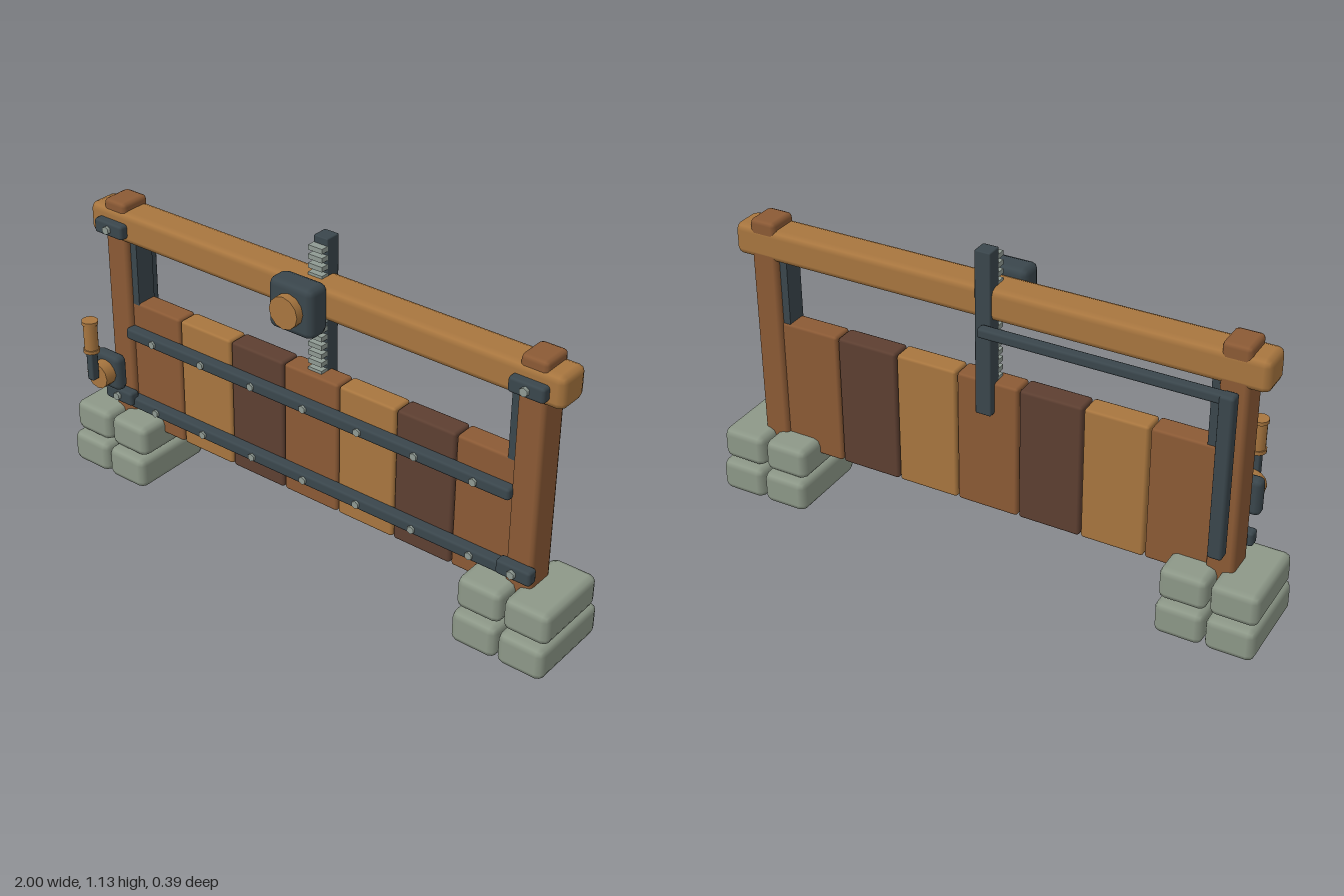
import * as THREE from 'three';
import { RoundedBoxGeometry } from 'three/addons/geometries/RoundedBoxGeometry.js';

export function createModel() {
  const model = new THREE.Group();
  model.name = 'sluiceGate';
  const paint = (name, color) => {
    const m = new THREE.MeshStandardMaterial({ color });
    m.name = name;
    return m;
  };
  const wood = paint('mid brown wood', 0x8b5a35);
  const lightWood = paint('light wood', 0xa8763f);
  const darkWood = paint('dark wood', 0x5d3f31);
  const iron = paint('dark iron', 0x3a464c);
  const steel = paint('pale steel', 0x8f9a93);
  const stone = paint('grey stone', 0x8d9888);

  const add = (name, geometry, material, x, y, z) => {
    const mesh = new THREE.Mesh(geometry, material);
    mesh.name = name;
    mesh.position.set(x, y, z);
    model.add(mesh);
    return mesh;
  };
  // Bevelled block given by its limits on each axis
  const block = (name, material, [x0, x1], [y0, y1], [z0, z1], bevel) =>
    add(name, new RoundedBoxGeometry(x1 - x0, y1 - y0, z1 - z0, 1, bevel), material,
      (x0 + x1) / 2, (y0 + y1) / 2, (z0 + z1) / 2);
  // Round part whose axis points to the front
  const disc = (name, material, x, y, z0, z1, r, sides) =>
    add(name, new THREE.CylinderGeometry(r, r, z1 - z0, sides).rotateX(Math.PI / 2),
      material, x, y, (z0 + z1) / 2);

  for (const s of [-1, 1]) {
    const cx = s * 0.83;
    // Footing of two courses, two stones each
    for (const t of [-1, 1]) {
      const x = cx + t * 0.0865;
      block('lowerStone', stone, [x - 0.0835, x + 0.0835], [0, 0.117], [-0.195, 0.132], 0.025);
      block('upperStone', stone, [x - 0.082, x + 0.082], [0.122, 0.237], [-0.177, 0.112], 0.025);
    }
    // Post, guide rail and iron brackets
    block('post', wood, [cx - 0.048, cx + 0.048], [0.15, 1.036], [-0.09, 0.024], 0.015);
    add('guideRail', new THREE.BoxGeometry(0.03, 0.71, 0.075), iron, s * 0.77, 0.545, -0.0325);
    for (const y of [0.297, 0.945]) {
      block('bracket', iron, [cx - 0.063, cx + 0.063], [y - 0.026, y + 0.026], [0.018, 0.06], 0.01);
      disc('bracketBolt', steel, cx, y, 0.055, 0.072, 0.015, 6);
    }
  }

  // Top beam
  block('topBeam', lightWood, [-0.94, 0.94], [0.895, 1.008], [-0.092, 0.031], 0.024);

  // Gate planks
  const tones = [wood, lightWood, darkWood];
  for (let i = 0; i < 7; i++) {
    const x = (i - 3) * 0.227;
    block('gatePlank', tones[i % 3], [x - 0.111, x + 0.111], [0.18, 0.666], [-0.075, 0.006], 0.01);
  }

  // Iron straps with a bolt on each plank
  for (const y of [0.28, 0.555]) {
    block('strap', iron, [-0.79, 0.79], [y - 0.021, y + 0.021], [0, 0.044], 0.01);
    for (let i = -3; i <= 3; i++) disc('strapBolt', steel, i * 0.221, y, 0.04, 0.052, 0.014, 6);
  }

  // Toothed lifting rack
  block('rack', iron, [-0.028, 0.028], [0.555, 1.135], [-0.101, -0.044], 0.004);
  for (let i = 0; i < 15; i++) {
    add('rackTooth', new THREE.BoxGeometry(0.055, 0.017, 0.034), steel, 0, 1.102 - i * 0.031, -0.034);
  }

  // Gearbox on the beam
  block('gearbox', iron, [-0.088, 0.088], [0.857, 1.033], [0.022, 0.111], 0.024);
  disc('gearboxHub', lightWood, 0, 0.945, 0.105, 0.14, 0.056, 12);

  // Drive rods on the back
  block('uprightRod', iron, [-0.855, -0.805], [0.31, 0.89], [-0.146, -0.099], 0.01);
  block('crossRod', iron, [-0.855, 0], [0.857, 0.892], [-0.143, -0.105], 0.01);

  // Hand crank
  const kx = -0.83;
  block('crankBox', iron, [kx - 0.061, kx + 0.061], [0.353, 0.487], [0.064, 0.112], 0.02);
  disc('crankHub', lightWood, kx, 0.42, 0.105, 0.155, 0.047, 12);
  block('crankArm', iron, [kx - 0.014, kx + 0.014], [0.418, 0.545], [0.156, 0.187], 0.005);
  add('crankHandle', new THREE.CylinderGeometry(0.025, 0.025, 0.12, 12), lightWood, kx, 0.587, 0.171);
  for (const y of [0.533, 0.641]) {
    add('handleRing', new THREE.CylinderGeometry(0.029, 0.029, 0.013, 12), lightWood, kx, y, 0.171);
  }
  return model;
}
